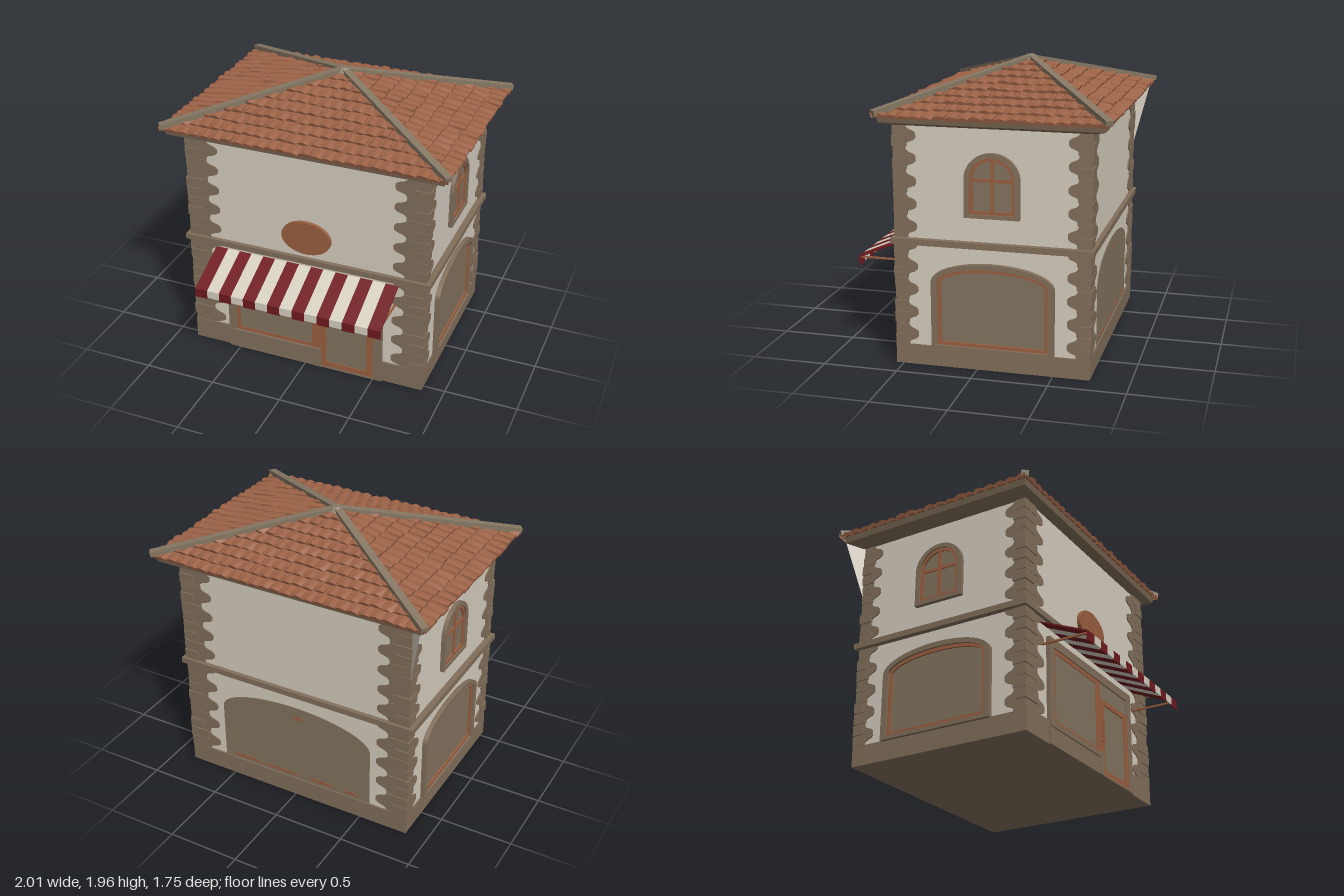
import * as THREE from 'three';
import { mergeGeometries } from 'three/addons/utils/BufferGeometryUtils.js';

const material = (name, color, extra = {}) => {
  const m = new THREE.MeshStandardMaterial({ color, ...extra });
  m.name = name;
  return m;
};

// Main wall extents
const X = 0.84, ZF = 0.535, ZB = -0.73, ZC = (ZF + ZB) / 2;

export function createModel() {
  const plaster = material('plaster', 0xd6cdbf, { side: THREE.DoubleSide });
  const stone = material('stone', 0x826f5b);
  const glass = material('windowPane', 0x83735f);
  const wood = material('wood', 0x9a5f40);
  const tile = material('roofTile', 0x9c6347, { flatShading: true, side: THREE.DoubleSide });
  const ridgeStone = material('ridgeStone', 0x857763);
  const red = material('awningRed', 0x701a1f);
  const cream = material('awningCream', 0xd6d0c2);

  const house = new THREE.Group();
  house.name = 'house';
  let seed = 7;
  const rand = () => (seed = (seed * 16807) % 2147483647) / 2147483647;

  const add = (parent, name, geo, mat) => {
    const m = new THREE.Mesh(geo, mat);
    m.name = name;
    parent.add(m);
    return m;
  };
  // Box given by its extents
  const boxGeo = (x0, x1, y0, y1, z0, z1) =>
    new THREE.BoxGeometry(x1 - x0, y1 - y0, z1 - z0).translate((x0 + x1) / 2, (y0 + y1) / 2, (z0 + z1) / 2);
  const box = (parent, name, mat, ...e) => add(parent, name, boxGeo(...e), mat);
  const extrude = (shape, z0, z1) =>
    new THREE.ExtrudeGeometry(shape, { depth: z1 - z0, bevelEnabled: false, curveSegments: 14 }).translate(0, 0, z0);
  const polygon = pts => new THREE.Shape(pts.map(p => new THREE.Vector2(...p)));
  const rect = (x0, x1, y0, y1) => polygon([[x0, y0], [x1, y0], [x1, y1], [x0, y1]]);
  const ring = (outer, inner) => { outer.holes.push(inner); return outer; };
  const arch = (hw, y0, spring, top) => {
    const s = new THREE.Shape();
    s.moveTo(-hw, y0);
    s.lineTo(hw, y0);
    s.lineTo(hw, spring);
    s.absellipse(0, spring, hw, top - spring, 0, Math.PI, false);
    s.lineTo(-hw, y0);
    return s;
  };

  // Walls, base and string course
  box(house, 'walls', plaster, -X, X, 0.1, 1.62, ZB, ZF);
  box(house, 'base', stone, -0.85, 0.85, 0, 0.135, -0.742, 0.547);
  box(house, 'stringCourse', stone, -0.88, 0.88, 0.82, 0.86, -0.76, 0.565);

  // Scalloped corner stones, one plate on each side of each corner
  const scallop = (narrow, wide, y0, y1, lobes) => {
    const pts = [[0, y1], [0, y0]], n = lobes * 10;
    for (let i = 0; i <= n; i++) {
      const k = THREE.MathUtils.clamp(0.5 - 0.95 * Math.cos((i / 10) * Math.PI * 2), 0, 1);
      pts.push([narrow + (wide - narrow) * k, y0 + ((y1 - y0) * i) / n]);
    }
    return extrude(polygon(pts), 0, 0.007);
  };
  const quoins = new THREE.Group();
  quoins.name = 'cornerStones';
  house.add(quoins);
  for (const [y0, y1, lobes] of [[0.13, 0.82, 4.5], [0.86, 1.6, 5]]) {
    for (const a of [0, 1, 2, 3]) {
      const half = a % 2 ? (ZF - ZB) / 2 : X, depth = a % 2 ? X : (ZF - ZB) / 2;
      for (const s of [-1, 1]) {
        const g = a % 2 ? scallop(0.075, 0.14, y0, y1, lobes) : scallop(0.14, 0.22, y0, y1, lobes);
        // The right-hand plate is turned about and pushed out again
        if (s > 0) g.rotateY(Math.PI).translate(0, 0, 0.007);
        g.translate(s * half, 0, depth).rotateY((a * Math.PI) / 2).translate(0, 0, ZC);
        add(quoins, 'cornerPlate', g, stone);
      }
    }
    // Coursed blocks on the corner itself
    const courses = Math.round((y1 - y0) / 0.075), h = (y1 - y0) / courses;
    const blocks = [];
    for (const sx of [-1, 1]) for (const front of [true, false]) for (let i = 0; i < courses; i++) {
      const p = 0.008 + rand() * 0.009, w = i % 2 ? 0.13 : 0.09, d = i % 2 ? 0.06 : 0.08;
      const xs = [sx * (X + p), sx * (X - w)].sort((m, n) => m - n);
      const zs = front ? [ZF - d, ZF + p] : [ZB - p, ZB + d];
      blocks.push(boxGeo(...xs, y0 + i * h + 0.003, y0 + (i + 1) * h - 0.003, ...zs));
    }
    add(quoins, 'cornerBlocks', mergeGeometries(blocks), stone);
  }

  // Shop front
  const shop = new THREE.Group();
  shop.name = 'shopFront';
  house.add(shop);
  add(shop, 'surround', extrude(ring(rect(-0.58, 0.56, 0, 0.72), rect(-0.52, 0.5, 0.012, 0.66)), 0.53, 0.562), stone);
  add(shop, 'windowFrame', extrude(ring(rect(-0.52, 0.11, 0.14, 0.66), rect(-0.495, 0.05, 0.175, 0.63)), 0.53, 0.554), wood);
  box(shop, 'shopWindow', glass, -0.5, 0.06, 0.17, 0.64, 0.54, 0.549);
  box(shop, 'transom', glass, 0.11, 0.5, 0.545, 0.66, 0.54, 0.551);
  add(shop, 'doorFrame', extrude(ring(rect(0.11, 0.5, 0.012, 0.545), rect(0.155, 0.45, 0.05, 0.51)), 0.53, 0.558), wood);
  box(shop, 'doorPanel', glass, 0.15, 0.46, 0.04, 0.52, 0.54, 0.55);
  box(shop, 'doorHandle', wood, 0.118, 0.134, 0.24, 0.4, 0.555, 0.572);
  box(shop, 'stallRiser', stone, -0.56, 0.115, 0, 0.15, 0.53, 0.56);
  box(shop, 'sillLedge', stone, -0.58, 0.07, 0.115, 0.15, 0.53, 0.57);
  box(shop, 'sillEnd', stone, 0.06, 0.12, 0, 0.15, 0.53, 0.566);
  box(shop, 'wallPlinthRight', stone, 0.56, 0.85, 0, 0.155, 0.53, 0.549);
  box(shop, 'wallPlinthLeft', stone, -0.85, -0.58, 0, 0.155, 0.53, 0.549);

  // Oval sign board
  const sign = add(house, 'ovalSign', new THREE.CylinderGeometry(1, 1, 0.03, 36), wood);
  sign.geometry.rotateX(Math.PI / 2).scale(0.175, 0.12, 1);
  sign.position.set(0.015, 1.015, 0.545);

  // Striped awning: one folded strip per stripe
  const awning = new THREE.Group();
  awning.name = 'awning';
  house.add(awning);
  const stripe = 1.32 / 15;
  for (let i = 0; i < 15; i++) {
    const low = i % 2 ? 0.595 : 0.586;
    const profile = polygon([[0.54, 0.782], [0.862, 0.642], [0.862, low], [0.87, low], [0.87, 0.65], [0.54, 0.792]]);
    const g = extrude(profile, 0, stripe).rotateY(-Math.PI / 2).translate(-0.66 + (i + 1) * stripe, 0, 0);
    add(awning, 'awningStripe', g, i % 2 ? cream : red);
  }
  for (const s of [-1, 1]) box(awning, 'awningRod', wood, s * 0.64 - 0.006, s * 0.64 + 0.006, 0.634, 0.646, 0.54, 0.865);

  // Arched windows, the same on both sides
  for (const s of [-1, 1]) {
    const side = new THREE.Group();
    side.name = s > 0 ? 'leftWindows' : 'rightWindows';
    side.position.z = -0.105;
    side.rotation.y = (s * Math.PI) / 2;
    house.add(side);
    add(side, 'largeSurround', extrude(ring(arch(0.405, 0.13, 0.58, 0.72), arch(0.365, 0.155, 0.58, 0.685)), 0.83, 0.873), stone);
    add(side, 'largeFrame', extrude(ring(arch(0.366, 0.154, 0.58, 0.686), arch(0.343, 0.178, 0.575, 0.662)), 0.83, 0.858), wood);
    add(side, 'largePane', extrude(arch(0.35, 0.17, 0.575, 0.67), 0.838, 0.846), glass);
    add(side, 'smallSurround', extrude(ring(arch(0.18, 1.02, 1.27, 1.44), arch(0.147, 1.045, 1.27, 1.41)), 0.83, 0.868), stone);
    add(side, 'smallFrame', extrude(ring(arch(0.148, 1.044, 1.27, 1.411), arch(0.126, 1.066, 1.27, 1.388)), 0.83, 0.858), wood);
    add(side, 'smallPane', extrude(arch(0.13, 1.06, 1.27, 1.395), 0.838, 0.846), glass);
    box(side, 'mullion', wood, -0.012, 0.012, 1.06, 1.395, 0.835, 0.856);
    box(side, 'glazingBar', wood, -0.13, 0.13, 1.253, 1.273, 0.835, 0.854);
  }

  // Flat blind arch on the back, with a few rusty streaks
  const back = new THREE.Group();
  back.name = 'backArch';
  back.rotation.y = Math.PI;
  house.add(back);
  add(back, 'blindArch', extrude(arch(0.57, 0.13, 0.55, 0.72), 0.729, 0.734), glass);
  for (const [x, w, y] of [[-0.4, 0.12, 0.165], [-0.12, 0.15, 0.165], [0.2, 0.1, 0.17], [0.43, 0.06, 0.165], [0.03, 0.04, 0.64]])
    add(back, 'rustStreak', new THREE.CylinderGeometry(1, 1, 0.004, 10).rotateX(Math.PI / 2).scale(w, 0.012, 1).translate(x, y, 0.735), wood);

  // Eaves cornice: stacked tapered slab
  const EZ = -0.115;
  const slab = (name, y0, y1, inset0, inset1) => {
    const g = new THREE.BoxGeometry(2, y1 - y0, 2).translate(0, (y0 + y1) / 2, 0);
    const p = g.attributes.position;
    for (let i = 0; i < p.count; i++) {
      const k = p.getY(i) < (y0 + y1) / 2 ? inset0 : inset1;
      p.setXYZ(i, p.getX(i) * (0.965 - k), p.getY(i), EZ + p.getZ(i) * (0.73 - k));
    }
    g.computeVertexNormals();
    add(house, name, g, stone);
  };
  slab('eavesSoffit', 1.595, 1.62, 0.09, 0.015);
  slab('eavesCornice', 1.62, 1.66, 0.015, 0.005);

  // Hipped roof: each slope is an underlay plus overlapping tile courses
  const V = (x, y, z) => new THREE.Vector3(x, y, z);
  const apex = V(0, 1.925, -0.15);
  const corners = [V(-0.97, 1.66, 0.62), V(0.97, 1.66, 0.62), V(0.97, 1.66, -0.855), V(-0.97, 1.66, -0.855)];
  const tri = [];
  const quad = (a, b, c, d) => [a, b, c, a, c, d].forEach(p => tri.push(p.x, p.y, p.z));
  corners.forEach((A, k) => {
    const B = corners[(k + 1) % 4];
    const dir = B.clone().sub(A).normalize();
    const foot = A.clone().addScaledVector(dir, apex.clone().sub(A).dot(dir));
    const uA = A.clone().sub(foot).dot(dir), uB = B.clone().sub(foot).dot(dir);
    const down = foot.clone().sub(apex);
    const normal = dir.clone().cross(down.clone().negate()).normalize();
    [A, B, apex].forEach(p => tri.push(p.x, p.y, p.z));
    const at = (u, t, h) => apex.clone().addScaledVector(down, t)
      .addScaledVector(dir, THREE.MathUtils.clamp(u, uA * t, uB * t)).addScaledVector(normal, h);
    const rows = 9, width = 0.078;
    for (let r = 0; r < rows; r++) {
      const t0 = r / rows, shift = (r % 2) * width * 0.5;
      for (let u = Math.floor(uA / width) * width - shift; u < uB; u += width) {
        const t1 = (r + 1) / rows + 0.006 + rand() * 0.014;
        if (u > uB * t1 || u + width < uA * t1) continue;
        const lift = 0.014 + rand() * 0.012, skew = (rand() - 0.5) * 0.012;
        const us = [u + 0.002, u + width / 2, u + width - 0.002];
        const hs = [lift + skew - 0.006, lift + 0.005, lift - skew - 0.006];
        const top = us.map((x, i) => at(x, t0, i === 1 ? 0.007 : 0.002));
        const low = us.map((x, i) => at(x, t1, hs[i]));
        const under = us.map(x => at(x, t1, -0.004));
        for (const i of [0, 1]) {
          quad(low[i], low[i + 1], top[i + 1], top[i]);
          quad(under[i], under[i + 1], low[i + 1], low[i]);
        }
        quad(under[0], low[0], top[0], top[0]);
        quad(low[2], under[2], top[2], top[2]);
      }
    }
  });
  const roof = new THREE.BufferGeometry();
  roof.setAttribute('position', new THREE.Float32BufferAttribute(tri, 3));
  roof.computeVertexNormals();
  add(house, 'roofTiles', roof, tile);

  // Hip ridges from the peak to each corner
  const peak = V(0, 1.935, -0.15);
  for (const c of corners) {
    const end = V(c.x * 1.015, 1.682, c.z + Math.sign(c.z) * 0.005);
    const g = new THREE.BoxGeometry(0.05, 0.036, peak.distanceTo(end));
    const hip = add(house, 'hipRidge', g, ridgeStone);
    hip.position.copy(peak).lerp(end, 0.5);
    hip.lookAt(end);
  }
  add(house, 'roofPeak', new THREE.CylinderGeometry(0.03, 0.06, 0.03, 8).translate(0, 1.94, -0.15), ridgeStone);

  // Thin web under the rear eaves corner
  const web = new THREE.BufferGeometry().setFromPoints([V(-0.845, 1.2, -0.735), V(-0.845, 1.6, -0.735), V(-0.945, 1.625, -0.835)]);
  web.computeVertexNormals();
  add(house, 'cornerWeb', web, plaster);

  return house;
}
